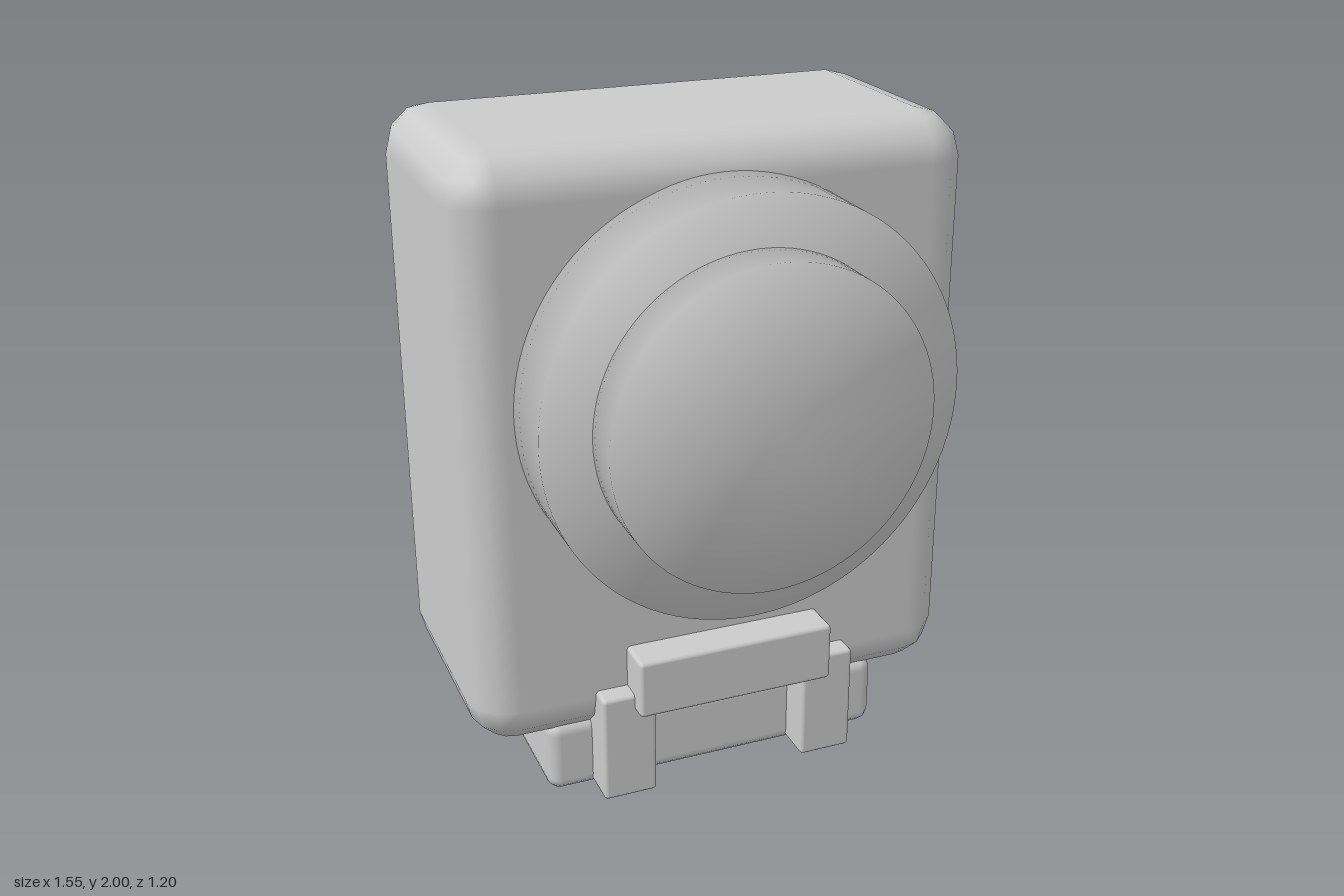
import * as THREE from 'three';
import { ConvexGeometry } from 'three/addons/geometries/ConvexGeometry.js';
import { mergeVertices } from 'three/addons/utils/BufferGeometryUtils.js';

const grey = new THREE.MeshStandardMaterial({ color: 0xcccccc });

// Box with rounded edges between two corners: hull of eight sphere octants, smooth normals
function roundedBox(name, min, max, r, steps) {
  const size = max.map((v, i) => v - min[i]);
  const core = size.map((s) => s / 2 - r);
  const points = [];
  for (const sx of [-1, 1]) for (const sy of [-1, 1]) for (const sz of [-1, 1]) {
    for (let i = 0; i <= steps; i++) {
      const a = (i / steps) * Math.PI / 2;
      const count = i === steps ? 0 : steps;
      for (let j = 0; j <= count; j++) {
        const b = (j / steps) * Math.PI / 2;
        points.push(new THREE.Vector3(
          sx * (core[0] + r * Math.cos(a) * Math.cos(b)),
          sy * (core[1] + r * Math.sin(a)),
          sz * (core[2] + r * Math.cos(a) * Math.sin(b))));
      }
    }
  }
  const geometry = new ConvexGeometry(points);
  const position = geometry.attributes.position;
  const normal = geometry.attributes.normal;
  const p = new THREE.Vector3();
  const limit = new THREE.Vector3(...core);
  const lower = limit.clone().negate();
  for (let i = 0; i < position.count; i++) {
    p.fromBufferAttribute(position, i);
    p.sub(p.clone().clamp(lower, limit)).normalize();
    normal.setXYZ(i, p.x, p.y, p.z);
  }
  const mesh = new THREE.Mesh(geometry, grey);
  mesh.name = name;
  mesh.position.set(...min.map((v, i) => v + size[i] / 2));
  return mesh;
}

// Forward-facing disc whose shading blends softly from rim to centre
function softDisc(name, radius, back, front) {
  let geometry = new THREE.CylinderGeometry(radius, radius, front - back, 96);
  geometry.rotateX(Math.PI / 2);
  geometry.deleteAttribute('normal');
  geometry.deleteAttribute('uv');
  geometry = mergeVertices(geometry, 1e-4);
  geometry.computeVertexNormals();
  const mesh = new THREE.Mesh(geometry, grey);
  mesh.name = name;
  mesh.position.set(0, 1.278, (front + back) / 2);
  return mesh;
}

export function createModel() {
  const model = new THREE.Group();
  model.name = 'roundEyedBox';

  // Main housing and the plinth below it
  model.add(roundedBox('body', [-0.775, 0.205, -0.6], [0.775, 2, 0.245], 0.138, 3));
  model.add(roundedBox('base', [-0.548, 0, -0.55], [0.548, 0.24, 0.197], 0.042, 3));

  // Stepped round eye
  model.add(softDisc('eyeRing', 0.623, 0.2, 0.47));
  model.add(softDisc('eyeLens', 0.474, 0.42, 0.603));

  // Two uprights joined by a crossbar
  for (const [name, x] of [['leftUpright', 0.326], ['rightUpright', -0.326]]) {
    model.add(roundedBox(name, [x - 0.084, 0.015, 0.15], [x + 0.084, 0.365, 0.31], 0.013, 3));
  }
  model.add(roundedBox('crossbar', [-0.31, 0.312, 0.16], [0.31, 0.497, 0.36], 0.013, 3));

  return model;
}
